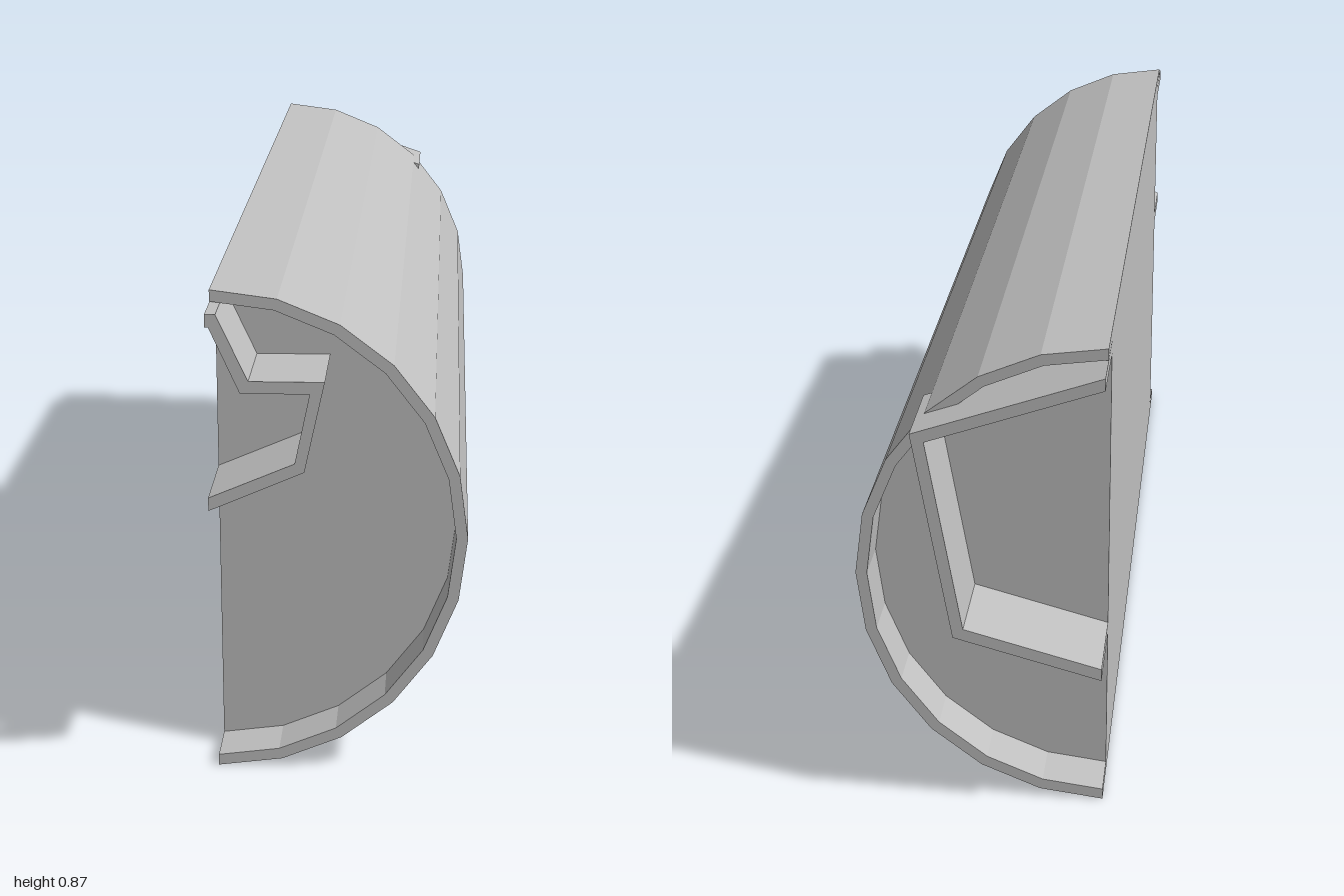
import * as THREE from 'three';

const R = 0.435, RIM = 0.415;   // outer and inner radius of the half shell
const CX = -0.218, CY = 0.437;  // centre of the half circle
const RIM_Z = 0.925, CAP_Z = 0.835, RIB_Z = 1;

// Points of a right-facing half circle from bottom to top, in 15 degree steps
function halfCircle(r) {
  const points = [];
  for (let i = 0; i <= 12; i++) {
    const a = -Math.PI / 2 + (i * Math.PI) / 12;
    points.push(new THREE.Vector2(CX + r * Math.cos(a), CY + r * Math.sin(a)));
  }
  return points;
}

export function createModel() {
  const group = new THREE.Group();
  const grey = new THREE.MeshStandardMaterial({ color: 0xc0c0c0, flatShading: true });
  grey.name = 'grey';

  // Extrude an outline along z between two depths
  function prism(name, points, z0, z1) {
    const geometry = new THREE.ExtrudeGeometry(new THREE.Shape(points), {
      depth: z1 - z0, bevelEnabled: false,
    });
    geometry.translate(0, 0, z0);
    const mesh = new THREE.Mesh(geometry, grey);
    mesh.name = name;
    group.add(mesh);
  }
  // A bent strip: outer path there, inner path back
  function strip(name, outer, inner, z0, z1) {
    const points = [...outer, ...inner.reverse()].map(([x, y]) => new THREE.Vector2(x, y));
    prism(name, points, z0, z1);
  }

  // Solid half cylinder, and rims standing out past its flat ends
  prism('body', halfCircle(R), -CAP_Z, CAP_Z);
  const rim = [...halfCircle(R), ...halfCircle(RIM).reverse()];
  prism('frontRim', rim, CAP_Z, RIM_Z);
  prism('backRim', rim, -RIM_Z, -CAP_Z);

  // Half-star rib on the front end
  strip('frontStarRib',
    [[CX, 0.51], [-0.057, 0.58], [-0.022, 0.737], [-0.148, 0.737], [-0.2, 0.85], [CX, 0.85]],
    [[CX, 0.533], [-0.073, 0.595], [-0.047, 0.716], [-0.162, 0.716], [-0.212, 0.828], [CX, 0.828]],
    CAP_Z, RIB_Z);

  // Larger angular rib on the back end
  strip('backRib',
    [[CX, 0.29], [0.038, 0.36], [0.105, 0.738], [CX, 0.85]],
    [[CX, 0.312], [0.02, 0.377], [0.081, 0.724], [CX, 0.828]],
    -RIB_Z, -CAP_Z);

  return group;
}
